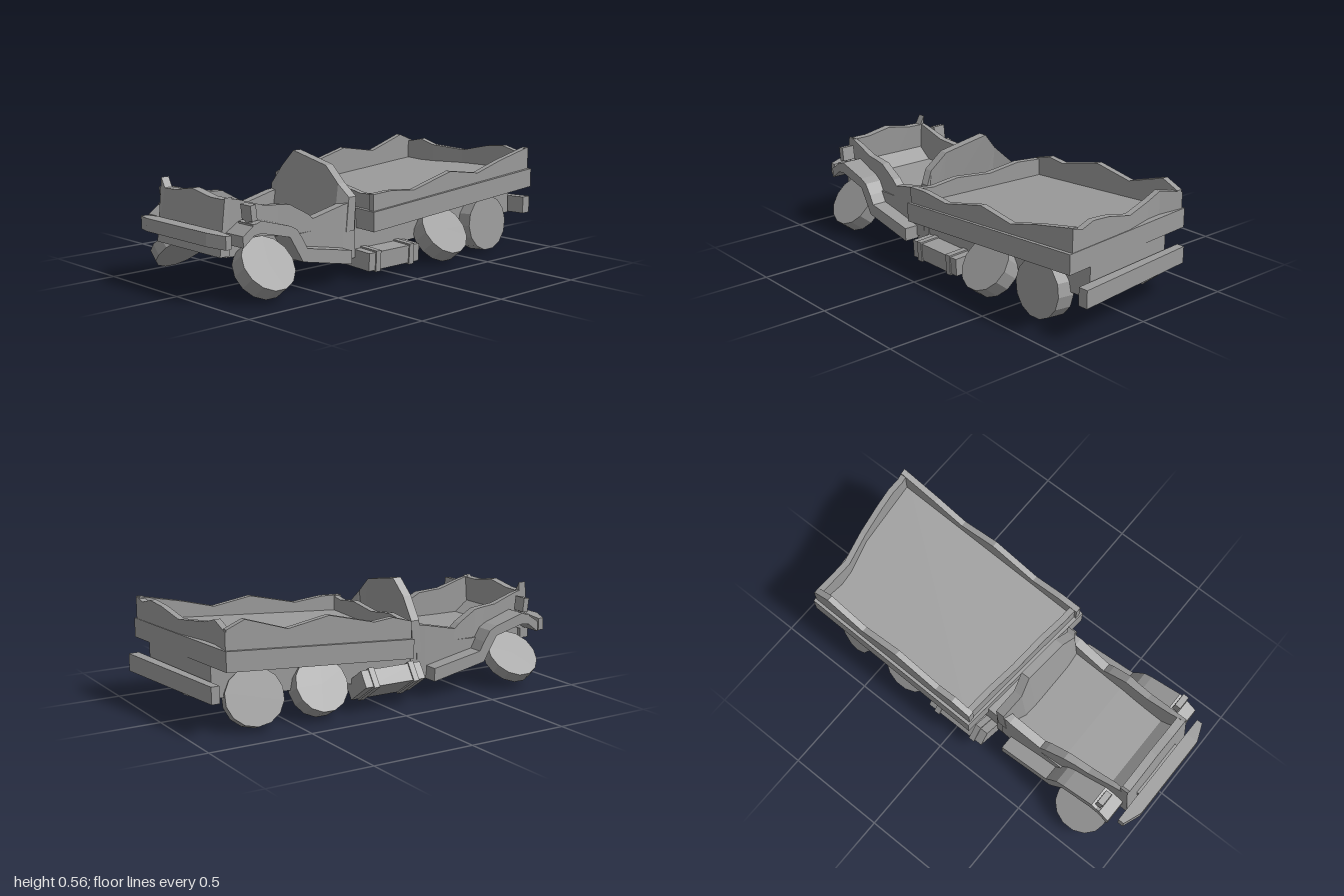
import * as THREE from 'three';

const mat = new THREE.MeshStandardMaterial({ color: 0x9b9b9b, flatShading: true, side: THREE.DoubleSide });

// Solid skinned over a row of convex rings, wound outward by its signed volume
function loft(rings) {
  const tris = [], n = rings[0].length, last = rings[rings.length - 1];
  for (let i = 0; i < rings.length - 1; i++)
    for (let j = 0; j < n; j++) {
      const k = (j + 1) % n, a = rings[i], b = rings[i + 1];
      tris.push([a[j], a[k], b[k]], [a[j], b[k], b[j]]);
    }
  for (let j = 1; j < n - 1; j++)
    tris.push([rings[0][0], rings[0][j + 1], rings[0][j]], [last[0], last[j], last[j + 1]]);
  const V = (p) => new THREE.Vector3(...p);
  let vol = 0;
  for (const t of tris) vol += V(t[0]).dot(V(t[1]).cross(V(t[2])));
  const pos = tris.flatMap((t) => (vol < 0 ? [t[0], t[2], t[1]] : t)).flat();
  const g = new THREE.BufferGeometry();
  g.setAttribute('position', new THREE.Float32BufferAttribute(pos, 3));
  g.computeVertexNormals();
  return g;
}

// Side profile swept between two x values: stations are [z, bottom, top]
const band = (x0, x1, stations) =>
  loft(stations.map(([z, b, t]) => [[x0, b, z], [x1, b, z], [x1, t, z], [x0, t, z]]));

// Heights along the sloping cargo bed
const railTop = (z) => 0.334 - 0.0714 * z;
const underside = (z) => 0.11 - 0.052 * z;

// Slab over a plan outline whose heights follow z
const slab = (plan, bottom, top) =>
  loft([plan.map(([x, z]) => [x, bottom(z), z]), plan.map(([x, z]) => [x, top(z), z])]);

// Ragged wall: points are [x, z, top], thickened by (dx, dz)
const wall = (points, dx, dz) => loft(points.map(([x, z, t]) => {
  const b = railTop(z) - 0.03;
  return [[x, b, z], [x + dx, b, z + dz], [x + dx, t, z + dz], [x, t, z]];
}));

export function createModel() {
  const root = new THREE.Group();
  const add = (name, g, parent = root) => {
    const m = new THREE.Mesh(g, mat);
    m.name = name;
    parent.add(m);
    return m;
  };
  const box = (name, w, h, d, x, y, z, parent) => {
    const m = add(name, new THREE.BoxGeometry(w, h, d), parent);
    m.position.set(x, y, z);
    return m;
  };

  // Skewed cargo bed: narrow lower body, outer rail with floor on top, broken walls
  add('bedBody', slab([[-0.265, 0.19], [0.265, 0.21], [0.265, -0.93], [-0.265, -0.87]],
    underside, (z) => railTop(z) - 0.05));
  add('bedRail', slab([[-0.4, 0.11], [0.395, 0.18], [0.4, -0.945], [-0.4, -0.86]],
    (z) => railTop(z) - 0.093, railTop));
  const leftTops = [[0.17, 0.4], [0.06, 0.405], [-0.1, 0.39], [-0.35, 0.45], [-0.55, 0.42], [-0.72, 0.465], [-0.935, 0.51]];
  const rightTops = [[0.105, 0.41], [0, 0.44], [-0.1, 0.43], [-0.34, 0.49], [-0.55, 0.455], [-0.76, 0.522], [-0.85, 0.485]];
  add('bedLeftWall', wall(leftTops.map(([z, t]) => [0.382, z, t]), -0.03, 0));
  add('bedRightWall', wall(rightTops.map(([z, t]) => [-0.385, z, t]), 0.03, 0));
  const rearTops = [[-0.385, 0.475], [-0.25, 0.505], [-0.17, 0.48], [0, 0.465], [0.15, 0.5], [0.25, 0.51], [0.32, 0.49], [0.382, 0.508]];
  const frontTops = [[-0.385, 0.41], [-0.22, 0.42], [-0.05, 0.395], [0.14, 0.41], [0.28, 0.39], [0.382, 0.4]];
  // Rear wall sags around a kink in plan
  add('bedRearWall', wall(rearTops.map(([x, t]) => [x, -0.898 - 0.11 * x + (Math.abs(x + 0.2) < 0.06 ? 0.03 : 0), t]), 0, 0.03));
  add('bedFrontWall', wall(frontTops.map(([x, t]) => [x, 0.13 + 0.08 * x, t]), 0, -0.03));

  // Rear bumper, hanging askew
  add('rearBumper', loft([
    [[-0.35, 0.155, -0.87], [-0.35, 0.155, -0.91], [-0.35, 0.235, -0.91], [-0.35, 0.235, -0.87]],
    [[0.35, 0.16, -0.95], [0.35, 0.16, -1], [0.35, 0.245, -1], [0.35, 0.245, -0.95]]]));

  // Cab underbody, and floor that rises behind the nose
  add('cabUnderbody', band(-0.27, 0.27, [[0.18, 0.09, 0.27], [0.27, 0.083, 0.26], [0.58, 0.14, 0.25]]));
  add('cabFloor', loft([[0.24, 0.26, 0.22, 0.26], [0.55, 0.235, 0.2, 0.265], [0.8, 0.215, 0.19, 0.265], [0.89, 0.21, 0.19, 0.33]]
    .map(([z, w, b, t]) => [[-w, b, z], [w, b, z], [w, t, z], [-w, t, z]])));

  // Nose panel with a ragged upper edge
  add('nosePanel', loft([[-0.23, 0.49], [-0.205, 0.445], [-0.13, 0.447], [0, 0.47], [0.13, 0.447], [0.215, 0.447], [0.23, 0.455]]
    .map(([x, t]) => [[x, 0.2, 0.885], [x, 0.2, 0.935], [x, t, 0.905], [x, t, 0.865]])));

  // Torn seat-back panel leaning rearward
  add('cabBackPanel', loft([[-0.275, 0.38, 0.23], [-0.17, 0.48, 0.275], [-0.1, 0.56, 0.28], [0.14, 0.515, 0.28], [0.23, 0.44, 0.27], [0.275, 0.38, 0.23]]
    .map(([x, t, z]) => {
      const top = z - (t - 0.35) * 0.22;
      return [[x, 0.22, z - 0.04], [x, 0.22, z + 0.01], [x, t, top], [x, t, top - 0.045]];
    })));

  for (const s of [1, -1]) {
    const side = s > 0 ? 'left' : 'right';

    // Cab side wall tapering and thinning to the nose: z, outer x, thickness, bottom, top
    add(side + 'CabWall', loft([
      [0.215, 0.272, 0.045, 0.1, 0.355], [0.26, 0.275, 0.045, 0.1, 0.35], [0.44, 0.27, 0.045, 0.13, 0.31],
      [0.47, 0.268, 0.045, 0.14, 0.335], [0.57, 0.26, 0.04, 0.16, 0.39], [0.63, 0.252, 0.036, 0.255, 0.395],
      [0.7, 0.247, 0.034, 0.265, 0.4], [0.83, 0.235, 0.025, 0.265, 0.44], [0.885, 0.23, 0.015, 0.25, 0.452]]
      .map(([z, x, w, b, t]) => [[s * x, b, z], [s * (x - w), b, z], [s * (x - w), t, z], [s * x, t, z]])));

    // Fender folding down into the running board
    add(side + 'Fender', band(s * 0.22, s * 0.345, [[0.27, 0.085, 0.15], [0.54, 0.138, 0.2], [0.565, 0.143, 0.245],
      [0.6, 0.2, 0.295], [0.64, 0.265, 0.315], [0.8, 0.305, 0.36], [0.84, 0.3, 0.345], [0.9, 0.255, 0.305]]));

    // Headlight on a short stalk
    const lamp = new THREE.Group();
    lamp.name = side + 'Headlight';
    root.add(lamp);
    box('lampStalk', 0.025, 0.05, 0.02, s * 0.298, 0.35, 0.83, lamp);
    box('lampFoot', 0.1, 0.03, 0.03, s * 0.295, 0.335, 0.83, lamp);
    box('lampBox', 0.068, 0.07, 0.03, s * 0.298, 0.395, 0.83, lamp).rotation.x = 0.12;

    // Strapped tank under the bed
    const tank = new THREE.Group();
    tank.name = side + 'Tank';
    tank.position.set(s > 0 ? 0.285 : -0.305, s > 0 ? 0.085 : 0.118, 0.015);
    tank.rotation.z = s > 0 ? -0.05 : -0.6;
    root.add(tank);
    box('tankBody', 0.16, 0.085, 0.33, 0, 0, 0, tank);
    for (const z of [0.11, -0.11]) box('tankStrap', 0.172, 0.1, 0.03, 0, 0, z, tank);
  }

  // Front bumper with swept-back ends
  add('frontBumper', loft([[-0.31, 0.25, 0.31, 0.965], [-0.22, 0.257, 0.317, 1], [0.22, 0.257, 0.317, 1], [0.31, 0.25, 0.31, 0.965]]
    .map(([x, b, t, z]) => [[x, b, 0.935], [x, b, z], [x, t, z], [x, t, 0.935]])));
  box('bumperMount', 0.3, 0.04, 0.06, 0, 0.28, 0.92);

  // Collapsed wheels: x, y, z, radius, thickness, upward tilt of the outer face, toe
  const wheels = [
    ['frontLeftWheel', 0.297, 0.14, 0.75, 0.135, 0.085, 38, 0],
    ['frontRightWheel', -0.317, 0.14, 0.75, 0.135, 0.06, 48, 0],
    ['middleLeftWheel', 0.32, 0.138, -0.345, 0.135, 0.085, 38, 0],
    ['middleRightWheel', -0.29, 0.139, -0.345, 0.133, 0.085, 30, 0],
    ['rearLeftWheel', 0.295, 0.142, -0.68, 0.138, 0.09, 5, 0],
    ['rearRightWheel', -0.29, 0.14, -0.68, 0.135, 0.085, 20, -15],
  ];
  for (const [name, x, y, z, r, t, tilt, toe] of wheels) {
    const e = THREE.MathUtils.degToRad(tilt), a = THREE.MathUtils.degToRad(toe);
    const axis = new THREE.Vector3(Math.sign(x) * Math.cos(e) * Math.cos(a), Math.sin(e), Math.cos(e) * Math.sin(a));
    const w = add(name, new THREE.CylinderGeometry(r, r, t, 14));
    w.position.set(x, y, z);
    w.quaternion.setFromUnitVectors(new THREE.Vector3(0, 1, 0), axis);
  }
  return root;
}
